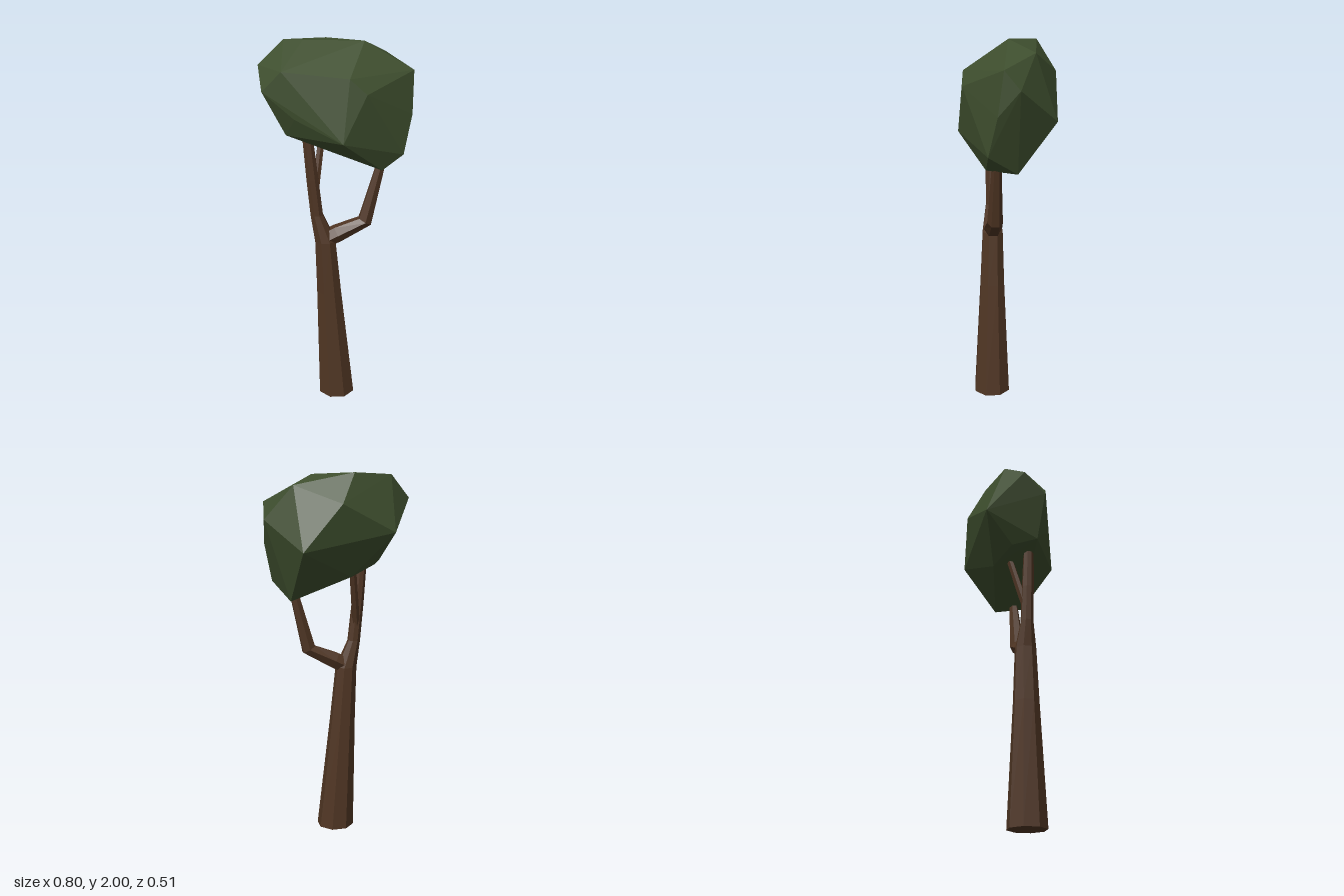
import * as THREE from 'three';
import { ConvexGeometry } from 'three/addons/geometries/ConvexGeometry.js';

const V = (p) => new THREE.Vector3(p[0], p[1], p[2]);

// Tapered limb: each stop is [x, y, z, radius]; level keeps the rings horizontal
function limb(stops, sides, level) {
  const pos = [], idx = [], n = stops.length;
  stops.forEach((s, i) => {
    const t = level ? new THREE.Vector3(0, 1, 0)
      : V(stops[Math.min(i + 1, n - 1)]).sub(V(stops[Math.max(i - 1, 0)])).normalize();
    const u = new THREE.Vector3(0, 0, 1).cross(t).normalize();
    const w = t.clone().cross(u);
    for (let k = 0; k < sides; k++) {
      const a = ((k + 0.5) / sides) * Math.PI * 2;
      const p = V(s).addScaledVector(u, s[3] * Math.cos(a)).addScaledVector(w, s[3] * Math.sin(a));
      pos.push(p.x, p.y, p.z);
    }
  });
  for (let i = 0; i < n - 1; i++) {
    for (let k = 0; k < sides; k++) {
      const a = i * sides + k, b = i * sides + (k + 1) % sides;
      idx.push(a, b, b + sides, a, b + sides, a + sides);
    }
  }
  // End caps
  const top = (n - 1) * sides;
  for (let k = 1; k < sides - 1; k++) {
    idx.push(0, k + 1, k, top, top + k, top + k + 1);
  }
  const g = new THREE.BufferGeometry();
  g.setAttribute('position', new THREE.Float32BufferAttribute(pos, 3));
  g.setIndex(idx);
  const flat = g.toNonIndexed();
  flat.computeVertexNormals();
  return flat;
}

export function createModel() {
  const tree = new THREE.Group();
  tree.name = 'tree';
  const bark = new THREE.MeshStandardMaterial({ color: 0x4f3523, flatShading: true });
  bark.name = 'bark brown';
  const leaf = new THREE.MeshStandardMaterial({ color: 0x3d4d2d, flatShading: true });
  leaf.name = 'leaf green';
  const add = (name, geometry, material) => {
    const m = new THREE.Mesh(geometry, material);
    m.name = name;
    tree.add(m);
  };

  // Leaning trunk, narrowing above the fork
  add('trunk', limb([
    [-0.007, 0, 0.083, 0.106], [-0.048, 0.65, 0.075, 0.072], [-0.067, 0.95, 0.07, 0.06],
    [-0.112, 1.1, 0.07, 0.036], [-0.133, 1.3, 0.072, 0.034], [-0.162, 1.6, 0.075, 0.028],
  ], 8, true), bark);

  // Bent side branch and small rear twig
  add('sideBranch', limb([
    [-0.08, 0.95, 0.07, 0.048], [0, 0.99, 0.07, 0.05],
    [0.148, 1.06, 0.07, 0.042], [0.24, 1.42, 0.065, 0.023],
  ], 6, false), bark);
  add('rearTwig', limb([
    [-0.125, 1.17, 0.065, 0.022], [-0.108, 1.3, 0.03, 0.021], [-0.075, 1.54, -0.03, 0.019],
  ], 6, false), bark);

  // Faceted crown
  const corners = [
    // top
    [-0.27, 2, -0.087], [-0.05, 2, -0.165], [0.14, 2, 0], [-0.17, 2, -0.05], [0.26, 1.935, -0.125],
    // left and right ends
    [-0.4, 1.885, 0], [-0.38, 1.77, 0.12], [0.39, 1.86, 0.04], [0.4, 1.765, -0.04], [0.385, 1.64, 0.07],
    // front
    [-0.28, 1.87, 0.15], [0.052, 1.845, 0.225], [0.137, 1.77, 0.232], [0.02, 1.53, 0.255], [-0.22, 1.64, 0.17],
    // back
    [-0.265, 1.7, -0.19], [0.035, 1.84, -0.258], [0.235, 1.6, -0.242],
    // underside
    [-0.265, 1.545, 0.1], [-0.2, 1.53, -0.03], [-0.05, 1.47, -0.11],
    [0.265, 1.34, -0.04], [0.23, 1.357, 0.12], [0.34, 1.44, 0.115],
  ].map(V);
  add('crown', new ConvexGeometry(corners), leaf);
  return tree;
}
